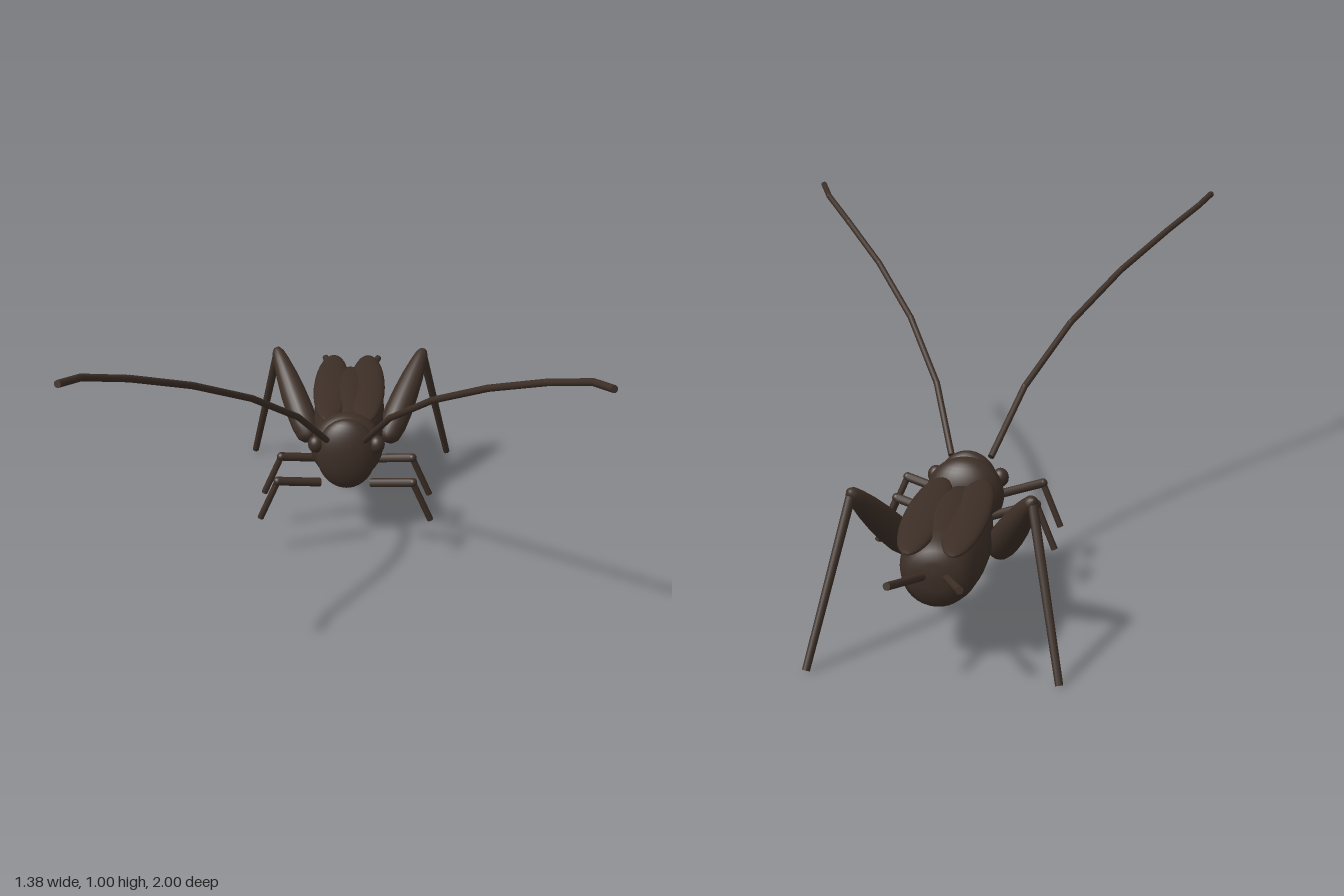
import * as THREE from 'three';

const brown = new THREE.MeshStandardMaterial({ color: 0x3d2f27 });
brown.name = 'darkBrown';

const V = (p) => new THREE.Vector3(...p);

function add(parent, name, geometry) {
  const mesh = new THREE.Mesh(geometry, brown);
  mesh.name = name;
  parent.add(mesh);
  return mesh;
}

// Ellipsoid from a centre and three half sizes
function ellipsoid(parent, name, centre, radii) {
  const mesh = add(parent, name, new THREE.SphereGeometry(1, 28, 20));
  mesh.position.set(...centre);
  mesh.scale.set(...radii);
  return mesh;
}

// Lathe running from a to b; profile holds [radius, fraction of length]
function spindle(parent, name, a, b, profile, sides = 20) {
  const start = V(a);
  const dir = V(b).sub(start);
  const length = dir.length();
  const points = profile.map(([r, t]) => new THREE.Vector2(r, t * length));
  const mesh = add(parent, name, new THREE.LatheGeometry(points, sides));
  mesh.position.copy(start);
  mesh.quaternion.setFromUnitVectors(new THREE.Vector3(0, 1, 0), dir.normalize());
  return mesh;
}

// Straight capped rod
function rod(parent, name, a, b, r0, r1 = r0) {
  const start = V(a), end = V(b);
  const dir = end.clone().sub(start);
  const mesh = add(parent, name, new THREE.CylinderGeometry(r1, r0, dir.length(), 10));
  mesh.position.copy(start).add(end).multiplyScalar(0.5);
  mesh.quaternion.setFromUnitVectors(new THREE.Vector3(0, 1, 0), dir.normalize());
  return mesh;
}

export function createModel() {
  const model = new THREE.Group();
  model.name = 'cricket';

  // Body
  spindle(model, 'abdomen', [0, 0.27, -0.24], [0, 0.27, -0.81], [
    [0, 0], [0.05, 0.03], [0.08, 0.1], [0.1, 0.22], [0.114, 0.37], [0.12, 0.53],
    [0.118, 0.7], [0.108, 0.86], [0.096, 0.94], [0.075, 0.98], [0.04, 0.997], [0, 1],
  ], 32);
  ellipsoid(model, 'pronotum', [0, 0.302, -0.23], [0.116, 0.114, 0.072]);
  ellipsoid(model, 'head', [0, 0.3, -0.175], [0.096, 0.118, 0.05]);

  const antennaPath = [
    [0.06, 0.377, -0.103], [0.137, 0.54, 0.105], [0.257, 0.69, 0.33], [0.4, 0.815, 0.55],
    [0.54, 0.91, 0.745], [0.64, 0.97, 0.893], [0.68, 0.992, 0.995],
  ];

  for (const s of [1, -1]) {
    const m = ([x, y, z]) => [s * x, y, z];
    const side = new THREE.Group();
    side.name = s > 0 ? 'leftSide' : 'rightSide';
    model.add(side);

    ellipsoid(side, 'eye', m([0.097, 0.336, -0.167]), [0.025, 0.029, 0.025]);
    ellipsoid(side, 'wing', m([0.06, 0.365, -0.582]), [0.06, 0.023, 0.305]);

    // Antenna of short straight rods with rounded joints
    for (let i = 0; i < antennaPath.length - 1; i++) {
      rod(side, 'antenna', m(antennaPath[i]), m(antennaPath[i + 1]), 0.01);
      if (i) ellipsoid(side, 'antennaJoint', m(antennaPath[i]), [0.01, 0.01, 0.01]);
    }

    // Front and middle legs
    for (const [name, dx, z] of [['frontLeg', 0, -0.07], ['middleLeg', 0, -0.26]]) {
      const knee = [0.21 + dx, 0.272, z + 0.05];
      rod(side, name + 'Upper', m([0.08, 0.247, z]), m(knee), 0.014);
      ellipsoid(side, name + 'Knee', m(knee), [0.014, 0.014, 0.014]);
      rod(side, name + 'Lower', m(knee), m([0.267, 0.138, z + 0.035]), 0.01);
    }

    // Jumping leg
    const knee = [0.248, 0.45, -0.685];
    spindle(side, 'hindThigh', m([0.125, 0.22, -0.46]), m([0.252, 0.465, -0.695]), [
      [0, 0], [0.024, 0.015], [0.038, 0.06], [0.045, 0.17], [0.046, 0.32], [0.043, 0.5],
      [0.036, 0.7], [0.027, 0.86], [0.02, 0.95], [0.011, 0.99], [0, 1],
    ]);
    rod(side, 'hindShin', m(knee), m([0.343, 0.008, -0.87]), 0.014, 0.011);

    // Tail feeler
    rod(side, 'cercus', m([0.025, 0.265, -0.78]), m([0.095, 0.318, -0.993]), 0.011);
  }

  return model;
}
